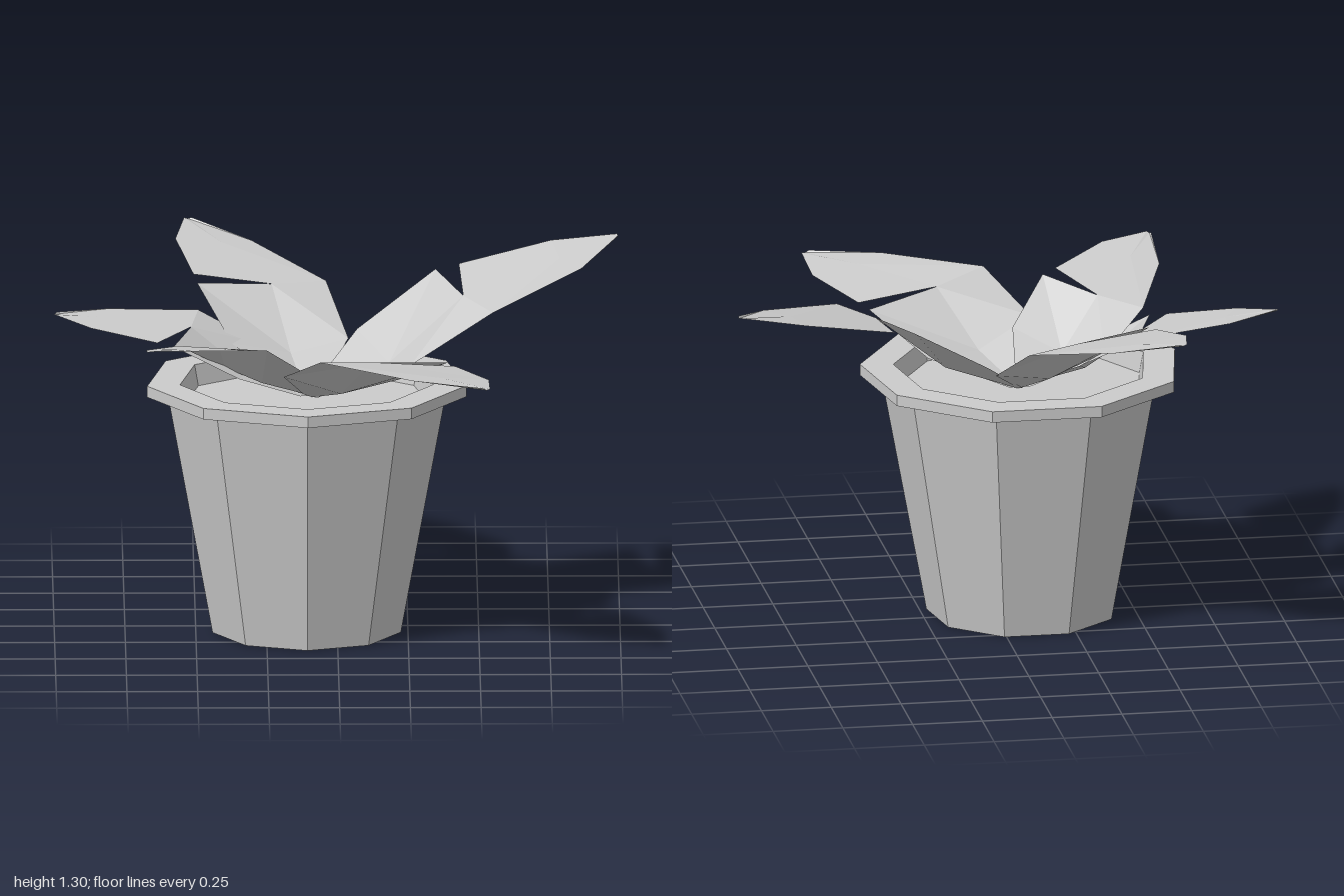
import * as THREE from 'three';

const material = new THREE.MeshStandardMaterial({ color: 0xcccccc, flatShading: true, side: THREE.DoubleSide });
const SIDES = 9;
const CENTRE = [-0.108, 0.043];

// Leaf cross-sections as [along, sideways, height], left edge - midrib - right edge.
// The two sections share the midrib and right edge, leaving a tear on the left side.
const lowerBlade = [
  [[0, 0.03, -0.03], [0, -0.01, -0.04], [0, -0.05, -0.03]],
  [[0.27, 0.2, 0.135], [0.27, -0.06, 0.07], [0.24, -0.3, 0.115]],
  [[0.58, 0.215, 0.315], [0.54, -0.095, 0.29], [0.54, -0.335, 0.28]],
];
const upperBlade = [
  [[0.66, 0.195, 0.33], [0.54, -0.095, 0.29], [0.54, -0.335, 0.28]],
  [[0.985, 0.13, 0.395], [0.93, -0.05, 0.375], [0.95, -0.19, 0.365]],
  [[1.18, 0.005, 0.425], [1.178, -0.01, 0.42], [1.17, -0.024, 0.425]],
];

// Each leaf: root and tip position (x, z), droop along its length, roll across it.
const leaves = [
  { name: 'rightBackLeaf', root: [-0.09, 0], tip: [0.995, -0.505], droop: 0, roll: 0 },
  { name: 'backLeaf', root: [-0.115, 0.005], tip: [-0.53, -0.945], droop: -0.015, roll: 0 },
  { name: 'rightSideLeaf', root: [-0.125, 0.025], tip: [-1.0, -0.105], droop: 0.09, roll: -0.15 },
  { name: 'frontRightLeaf', root: [-0.1, 0], tip: [-0.67, 0.71], droop: 0.035, roll: 0.06 },
  { name: 'frontLeftLeaf', root: [-0.08, 0.01], tip: [0.53, 0.935], droop: 0.17, roll: -0.17 },
];

// Skins a strip of cross-sections with flat faces
function bladeGeometry(rows, place) {
  const position = [], index = [];
  const n = rows[0].length;
  rows.forEach((row) => row.forEach((p) => position.push(...place(p))));
  for (let i = 0; i < rows.length - 1; i++) {
    for (let j = 0; j < n - 1; j++) {
      const a = i * n + j, b = a + 1, c = a + n, d = c + 1;
      index.push(a, b, c, b, d, c);
    }
  }
  const indexed = new THREE.BufferGeometry();
  indexed.setAttribute('position', new THREE.Float32BufferAttribute(position, 3));
  indexed.setIndex(index);
  const geometry = indexed.toNonIndexed();
  geometry.computeVertexNormals();
  return geometry;
}

function makeLeaf({ name, root, tip, droop, roll }) {
  const dx = tip[0] - root[0], dz = tip[1] - root[1];
  const length = Math.hypot(dx, dz);
  const scale = length / 1.18;
  const ux = dx / length, uz = dz / length;
  const place = ([u, v, h]) => [
    root[0] + scale * (ux * u + uz * v),
    0.87 + scale * (h - droop * u + roll * v),
    root[1] + scale * (uz * u - ux * v),
  ];
  const leaf = new THREE.Group();
  leaf.name = name;
  [['lowerBlade', lowerBlade], ['upperBlade', upperBlade]].forEach(([part, rows]) => {
    const mesh = new THREE.Mesh(bladeGeometry(rows, place), material);
    mesh.name = part;
    leaf.add(mesh);
  });
  return leaf;
}

export function createModel() {
  const plant = new THREE.Group();
  plant.name = 'pottedPlant';

  // Tapered pot with a projecting rim and a shallow recess
  const profile = [
    [0, 0], [0.338, 0], [0.498, 0.865], [0.573, 0.865],
    [0.573, 0.905], [0.455, 0.905], [0.44, 0.83],
  ].map(([r, y]) => new THREE.Vector2(r, y));
  const potGeometry = new THREE.LatheGeometry(profile, SIDES).toNonIndexed();
  potGeometry.computeVertexNormals();
  const pot = new THREE.Mesh(potGeometry, material);
  pot.name = 'pot';
  pot.position.set(CENTRE[0], 0, CENTRE[1]);
  plant.add(pot);

  // Soil inside the rim
  const soilGeometry = new THREE.CircleGeometry(0.44, SIDES, -Math.PI / 2);
  soilGeometry.rotateX(-Math.PI / 2);
  const soil = new THREE.Mesh(soilGeometry, material);
  soil.name = 'soil';
  soil.position.set(CENTRE[0], 0.83, CENTRE[1]);
  plant.add(soil);

  // Five torn, folded leaves fanning out of the soil
  leaves.forEach((leaf) => plant.add(makeLeaf(leaf)));
  return plant;
}
